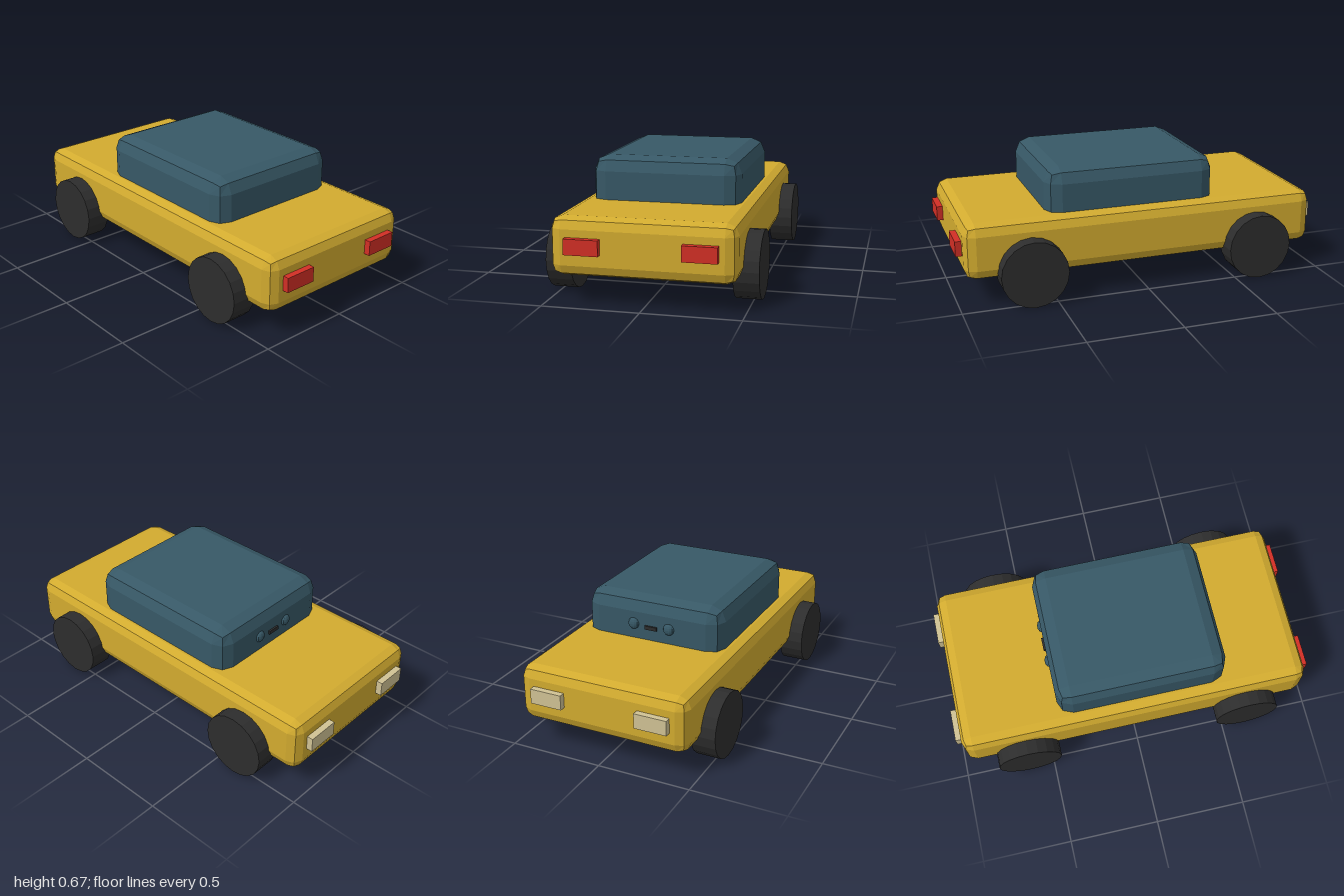
import * as THREE from 'three';
import { RoundedBoxGeometry } from 'three/addons/geometries/RoundedBoxGeometry.js';

const material = (name, color) => {
  const m = new THREE.MeshStandardMaterial({ color });
  m.name = name;
  return m;
};

// Faceted look: every face gets its own normal
const faceted = (geometry) => {
  const g = geometry.index ? geometry.toNonIndexed() : geometry;
  g.computeVertexNormals();
  return g;
};

export function createModel() {
  const car = new THREE.Group();
  car.name = 'car';

  const yellow = material('yellow paint', 0xd2ab2f);
  const blue = material('blue cabin', 0x375866);
  const black = material('black rubber', 0x2d2d2d);
  const red = material('red light', 0xd22f25);
  const cream = material('cream light', 0xd0c294);

  const add = (name, geometry, mat, x, y, z) => {
    const mesh = new THREE.Mesh(faceted(geometry), mat);
    mesh.name = name;
    mesh.position.set(x, y, z);
    car.add(mesh);
    return mesh;
  };

  // Body and cabin, both with bevelled edges
  add('body', new RoundedBoxGeometry(0.934, 0.3, 1.934, 1, 0.06), yellow, 0, 0.293, 0);
  add('cabin', new RoundedBoxGeometry(0.788, 0.36, 0.934, 1, 0.08), blue, 0, 0.493, 0.051);

  for (const [side, sx] of [['left', 1], ['right', -1]]) {
    // Wheels
    for (const [end, sz] of [['front', 1], ['back', -1]]) {
      const tyre = new THREE.CylinderGeometry(0.177, 0.177, 0.132, 20).rotateZ(Math.PI / 2);
      add(`${end} ${side} wheel`, tyre, black, sx * 0.479, 0.177, sz * 0.626);
    }
    // Lights at both ends
    add(`${side} red light`, new THREE.BoxGeometry(0.175, 0.08, 0.06), red, sx * 0.292, 0.304, 0.97);
    add(`${side} cream light`, new THREE.BoxGeometry(0.175, 0.08, 0.06), cream, sx * 0.292, 0.304, -0.97);
    // Small round eyes on the back of the cabin
    const eye = new THREE.SphereGeometry(0.032, 10, 8).scale(1, 1, 0.6);
    add(`${side} eye`, eye, blue, sx * 0.103, 0.525, -0.415);
  }

  // Mouth between the eyes
  add('mouth', new THREE.BoxGeometry(0.07, 0.02, 0.03), black, 0, 0.515, -0.411);

  return car;
}
